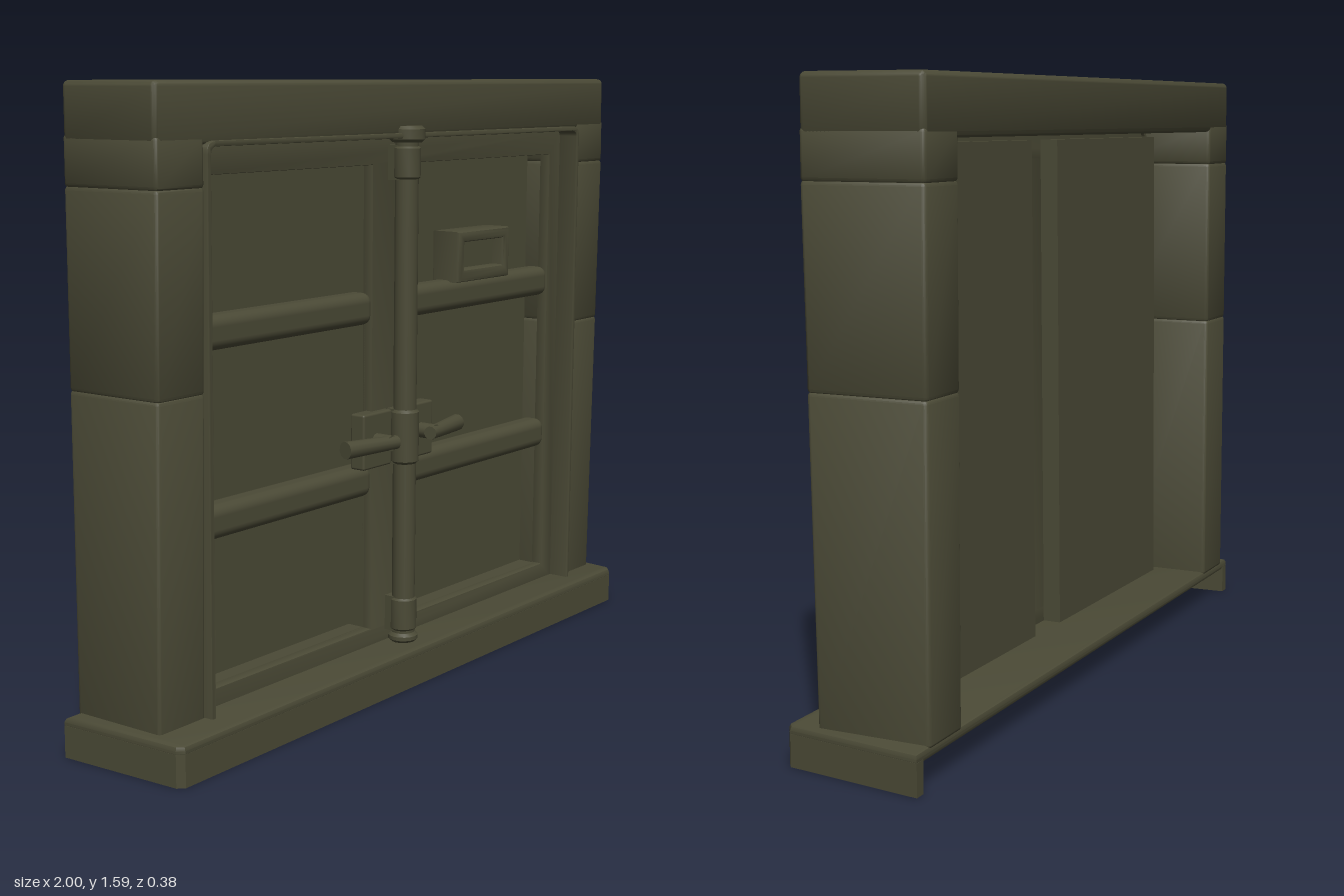
import * as THREE from 'three';
import { toCreasedNormals } from 'three/addons/utils/BufferGeometryUtils.js';
import { RoundedBoxGeometry } from 'three/addons/geometries/RoundedBoxGeometry.js';

export function createModel() {
  const model = new THREE.Group();
  model.name = 'doubleDoor';
  const olive = new THREE.MeshStandardMaterial({ color: 0x4b4a36 });
  olive.name = 'dark olive';

  // The door leaves sit slightly askew in the surround
  const doors = new THREE.Group();
  doors.name = 'doorLeaves';
  doors.rotation.set(0.008, -0.016, 0);
  doors.position.z = -0.006;
  model.add(doors);

  const add = (name, geometry, parent = doors) => {
    const mesh = new THREE.Mesh(geometry, olive);
    mesh.name = name;
    parent.add(mesh);
    return mesh;
  };

  // Box given by its limits, with softly rounded edges when r > 0
  const block = (name, x0, x1, y0, y1, z0, z1, r = 0, parent = doors) => {
    const size = [x1 - x0, y1 - y0, z1 - z0];
    const g = r ? new RoundedBoxGeometry(...size, 3, r) : new THREE.BoxGeometry(...size);
    g.translate((x0 + x1) / 2, (y0 + y1) / 2, (z0 + z1) / 2);
    return add(name, g, parent);
  };

  const polygon = (pts) => new THREE.Shape(pts.map(([x, y]) => new THREE.Vector2(x, y)));
  const rect = (x0, x1, y0, y1) => polygon([[x0, y0], [x1, y0], [x1, y1], [x0, y1]]);

  // Extrusion from z0 to z1 with a small bevel inside those limits
  const slab = (shape, z0, z1, b = 0.006) => {
    const g = new THREE.ExtrudeGeometry(shape, {
      depth: z1 - z0 - 2 * b, bevelEnabled: true, bevelThickness: b,
      bevelSize: b, bevelOffset: -b, bevelSegments: 2, curveSegments: 6,
    });
    g.translate(0, 0, z0 + b);
    return toCreasedNormals(g, 0.6);
  };

  // Sill: top plate over a skirt that is open underneath and at the back
  const edge = [[-1, 0.19], [-0.985, -0.154], [-0.97, -0.17], [0.935, -0.185], [0.955, -0.17], [1, 0.19]];
  const plate = slab(polygon(edge), 0.07, 0.1, 0.012);
  plate.rotateX(-Math.PI / 2);
  add('sillTop', plate, model);
  const inner = [[0.97, 0.19], [0.93, -0.15], [-0.955, -0.14], [-0.97, 0.19]];
  const skirt = new THREE.ExtrudeGeometry(polygon([...edge, ...inner]), { depth: 0.08, bevelEnabled: false });
  skirt.rotateX(-Math.PI / 2);
  add('sillSkirt', skirt, model);

  // Chamfered core under the sill
  const core = new THREE.ExtrudeGeometry(
    polygon([[-0.185, 0.085], [-0.06, 0.035], [0.12, 0.035], [0.12, 0.085]]),
    { depth: 1.86, bevelEnabled: false });
  core.rotateY(-Math.PI / 2);
  core.translate(0.92, 0, 0);
  add('sillCore', core, model);

  // Surround: lintel and jamb courses; the front leans back to the foot and to one side
  const surround = (name, x0, x1, y0, y1, r) => {
    const mesh = block(name, x0, x1, y0, y1, -0.19, 0.128, r, model);
    const p = mesh.geometry.attributes.position;
    for (let i = 0; i < p.count; i++) {
      if (p.getZ(i) < 0) continue;
      const down = 0.019 * Math.max(0, 1.35 - p.getY(i));
      const across = 0.014 * (0.94 - p.getX(i));
      p.setZ(i, p.getZ(i) - down - across);
    }
    mesh.geometry.computeVertexNormals();
    mesh.geometry = toCreasedNormals(mesh.geometry, 0.6);
  };
  surround('lintel', -0.955, 0.94, 1.445, 1.59, 0.014);
  for (const [x0, x1] of [[-0.955, -0.8], [0.785, 0.94]]) {
    surround('jambTop', x0, x1, 1.348, 1.47, 0.01);
    surround('jambMiddle', x0, x1, 0.876, 1.352, 0.01);
    surround('jambBottom', x0, x1, 0.09, 0.88, 0.01);
  }

  // Arched outline with rounded top corners, used for the trim and the face frame
  const leafOutline = (x0, x1, y0, y1, r) => {
    const s = new THREE.Shape();
    s.moveTo(x0, y0);
    s.lineTo(x1, y0);
    s.lineTo(x1, y1 - r);
    s.quadraticCurveTo(x1, y1, x1 - r, y1);
    s.lineTo(x0 + r, y1);
    s.quadraticCurveTo(x0, y1, x0, y1 - r);
    return s;
  };

  // Raised trim around both leaves
  const trim = leafOutline(-0.802, 0.787, 0.08, 1.456, 0.03);
  trim.holes.push(leafOutline(-0.788, 0.773, 0.095, 1.443, 0.022));
  add('doorTrim', slab(trim, 0.02, 0.122, 0.003));

  // Face frame with two openings
  const face = leafOutline(-0.795, 0.78, 0.085, 1.45, 0.025);
  face.holes.push(rect(-0.75, -0.12, 0.145, 1.375), rect(0.05, 0.72, 0.145, 1.375));
  add('doorFaceFrame', slab(face, 0.03, 0.064, 0.004));

  // Recessed panels and the returns around them
  for (const [x0, x1] of [[-0.765, -0.1], [0.052, 0.715]]) {
    block('panel', x0, x1, 0.1, 1.43, -0.02, -0.01);
    block('panelTopReturn', x0, x1, 1.375, 1.43, -0.015, 0.04);
    block('panelBottomReturn', x0, x1, 0.1, 0.145, -0.015, 0.04);
  }
  block('outerReturn', -0.765, -0.75, 0.1, 1.43, -0.015, 0.04);
  block('innerReturn', -0.12, -0.1, 0.1, 1.43, -0.015, 0.04);

  // Rounded cross rails
  for (const y of [0.548, 1.004]) {
    for (const [x0, x1] of [[-0.762, -0.105], [0.04, 0.735]]) {
      block('crossRail', x0, x1, y - 0.042, y + 0.042, -0.014, 0.06, 0.026);
    }
  }

  // Vertical lock rod with its collars and caps
  const rodX = -0.028;
  const rodPart = (name, r, y0, y1, z = 0.103) => {
    const b = 0.008;
    const profile = [[0, y0], [r - b, y0], [r, y0 + b], [r, y1 - b], [r - b, y1], [0, y1]];
    const g = new THREE.LatheGeometry(profile.map(([x, y]) => new THREE.Vector2(x, y)), 16);
    add(name, toCreasedNormals(g, 0.6)).position.set(rodX, 0, z);
  };
  rodPart('lockRod', 0.031, 0.1, 1.46);
  rodPart('topCap', 0.047, 1.432, 1.474);
  rodPart('topCollar', 0.036, 1.335, 1.425);
  rodPart('bottomCollar', 0.036, 0.13, 0.225);
  rodPart('bottomCap', 0.04, 0.1, 0.126);
  rodPart('lockCollar', 0.038, 0.588, 0.735);

  // Brackets that hold the rod against the centre stile
  for (const [y0, y1] of [[0.13, 0.225], [0.588, 0.735], [1.335, 1.425]]) {
    block('rodBracket', rodX - 0.03, rodX + 0.03, y0, y1, 0.05, 0.105);
  }

  // Lock plates and lever handles
  for (const s of [-1, 1]) {
    const cx = s < 0 ? -0.12 : 0.063;
    block('lockPlate', cx - 0.06, cx + 0.06, 0.588, 0.735, 0.04, 0.085, 0.006);
    const a = new THREE.Vector3(rodX + s * 0.075, 0.66, 0.132);
    const b = new THREE.Vector3(rodX + s * 0.245, 0.66, 0.098);
    const hub = new THREE.CylinderGeometry(0.021, 0.021, 0.07, 12);
    hub.rotateX(Math.PI / 2);
    add('handleHub', hub).position.set(a.x + s * 0.022, a.y, 0.1);
    const lever = add('handle', new THREE.CylinderGeometry(0.023, 0.018, a.distanceTo(b), 12));
    lever.position.copy(a).lerp(b, 0.5);
    lever.quaternion.setFromUnitVectors(new THREE.Vector3(0, 1, 0), b.clone().sub(a).normalize());
  }

  // Viewing slot: raised surround with a closed shutter
  const slot = rect(0.247, 0.497, 1.04, 1.18);
  slot.holes.push(rect(0.278, 0.465, 1.075, 1.15));
  add('slotSurround', slab(slot, -0.015, 0.078, 0.01));
  block('slotShutter', 0.27, 0.475, 1.065, 1.16, -0.01, 0.04);

  return model;
}
